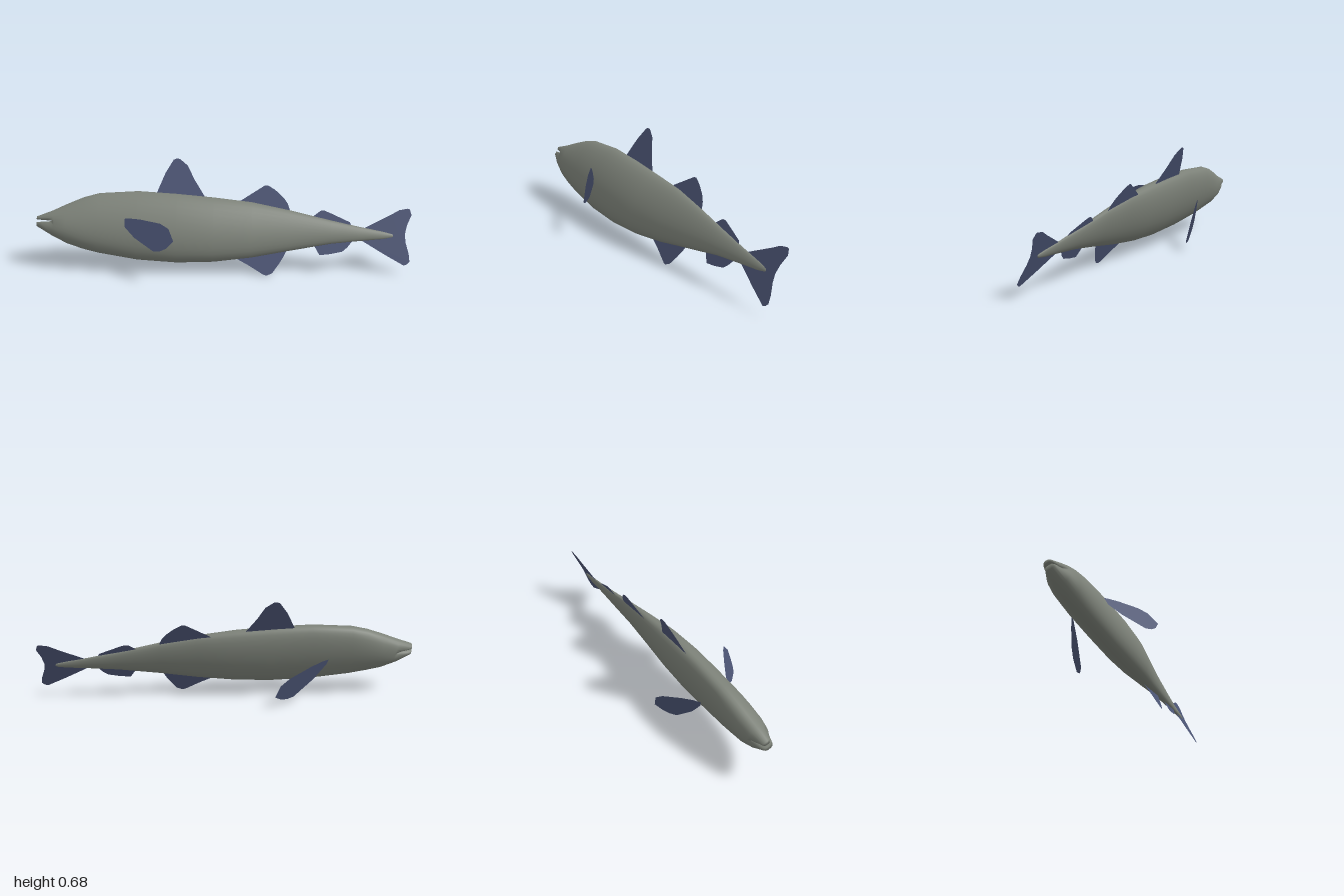
import * as THREE from 'three';

const skin = new THREE.MeshStandardMaterial({ color: 0x7c8178, side: THREE.DoubleSide });
skin.name = 'greySkin';
const finBlue = new THREE.MeshStandardMaterial({ color: 0x4b5474, side: THREE.DoubleSide });
finBlue.name = 'blueFin';

const SIDES = 28;

// Cross-sections from mouth to tail:
// x, centre y, centre z, half height, half width, pull-back of the mouth corners
const sections = [
  [-1.07, 0.035, 0.016, 0.002, 0.050, 0],
  [-1.198, 0.037, 0.014, 0.010, 0.042, 0.115],
  [-1.195, 0.034, 0.014, 0.032, 0.050, 0.105],
  [-1.10, 0.024, 0.016, 0.078, 0.071, 0.025],
  [-1.0, 0.022, 0.018, 0.126, 0.085, 0],
  [-0.9, 0.027, 0.020, 0.163, 0.092, 0],
  [-0.8, 0.029, 0.021, 0.189, 0.097, 0],
  [-0.55, 0.017, 0.025, 0.217, 0.102, 0],
  [-0.3, 0.002, 0.028, 0.217, 0.104, 0],
  [-0.07, -0.004, 0.028, 0.203, 0.095, 0],
  [0.17, -0.002, 0.021, 0.175, 0.070, 0],
  [0.41, -0.003, 0.013, 0.128, 0.047, 0],
  [0.67, -0.009, 0.002, 0.074, 0.030, 0],
  [0.85, -0.018, -0.004, 0.045, 0.018, 0],
  [1.0, -0.025, -0.008, 0.024, 0.012, 0],
  [1.06, -0.026, -0.010, 0.012, 0.007, 0],
  [1.07, -0.026, -0.010, 0.001, 0.001, 0],
];

// Smooth loft through the cross-sections, fuller towards the belly
function bodyGeometry() {
  const pos = [], index = [];
  for (const [x, cy, cz, h, w, notch] of sections) {
    for (let j = 0; j < SIDES; j++) {
      const t = (j / SIDES) * Math.PI * 2, s = Math.sin(t), c = Math.cos(t);
      pos.push(x + notch * c ** 4, cy + h * s, cz + w * c * (1 - 0.12 * s));
    }
  }
  for (let i = 0; i < sections.length - 1; i++) {
    for (let j = 0; j < SIDES; j++) {
      const k = (j + 1) % SIDES;
      const p = i * SIDES + j, r = i * SIDES + k;
      index.push(p, p + SIDES, r, p + SIDES, r + SIDES, r);
    }
  }
  const g = new THREE.BufferGeometry();
  g.setAttribute('position', new THREE.Float32BufferAttribute(pos, 3));
  g.setIndex(index);
  g.computeVertexNormals();
  return g;
}

// Flat fin from an outline in the side plane
function fin(name, points, z = 0.005) {
  const shape = new THREE.Shape(points.map(([x, y]) => new THREE.Vector2(x, y)));
  const mesh = new THREE.Mesh(new THREE.ShapeGeometry(shape), finBlue);
  mesh.name = name;
  mesh.position.z = z;
  return mesh;
}

// Side fin splayed outwards from its root; side is +1 or -1
function pectoralFin(name, side) {
  const mesh = fin(name, [
    [-0.65, 0.05], [-0.635, 0.015], [-0.556, -0.066], [-0.429, -0.149], [-0.385, -0.147],
    [-0.345, -0.13], [-0.302, -0.087], [-0.335, -0.01], [-0.39, 0.022], [-0.52, 0.048], [-0.6, 0.056],
  ], 0.01);
  const p = mesh.geometry.attributes.position;
  for (let i = 0; i < p.count; i++) {
    p.setZ(i, side * (0.111 + 0.52 * (p.getX(i) + 0.63) - 0.05 * p.getY(i)));
  }
  mesh.geometry.computeVertexNormals();
  return mesh;
}

export function createModel() {
  const fish = new THREE.Group();
  fish.name = 'fish';

  const body = new THREE.Mesh(bodyGeometry(), skin);
  body.name = 'body';
  fish.add(body);

  // Three fins along the back
  fish.add(fin('firstDorsalFin', [
    [-0.45, 0.16], [-0.44, 0.21], [-0.38, 0.353], [-0.33, 0.436], [-0.312, 0.445], [-0.29, 0.442],
    [-0.24, 0.40], [-0.195, 0.31], [-0.12, 0.19], [-0.11, 0.15],
  ], 0.02));
  fish.add(fin('secondDorsalFin', [
    [0.08, 0.14], [0.095, 0.18], [0.18, 0.235], [0.25, 0.28], [0.27, 0.282], [0.317, 0.253],
    [0.37, 0.205], [0.398, 0.165], [0.415, 0.115], [0.4, 0.09],
  ]));
  fish.add(fin('thirdDorsalFin', [
    [0.55, 0.06], [0.56, 0.09], [0.605, 0.125], [0.63, 0.126], [0.669, 0.11], [0.79, 0.055],
    [0.805, 0.02], [0.78, 0],
  ], 0));

  // Two fins under the tail
  fish.add(fin('firstAnalFin', [
    [0.05, -0.14], [0.065, -0.18], [0.15, -0.225], [0.25, -0.286], [0.268, -0.29], [0.303, -0.275],
    [0.345, -0.215], [0.37, -0.175], [0.395, -0.125], [0.38, -0.09],
  ]));
  fish.add(fin('secondAnalFin', [
    [0.555, -0.07], [0.568, -0.1], [0.6, -0.156], [0.67, -0.148], [0.743, -0.132], [0.775, -0.105],
    [0.81, -0.06], [0.78, -0.04],
  ], 0));

  // Forked tail
  fish.add(fin('tailFin', [
    [0.86, -0.02], [0.875, 0.015], [1.05, 0.106], [1.1, 0.135], [1.155, 0.146], [1.168, 0.14],
    [1.178, 0.105], [1.15, 0.04], [1.137, -0.018], [1.142, -0.07], [1.162, -0.14], [1.167, -0.19],
    [1.15, -0.207], [1.131, -0.214], [1.007, -0.145], [0.865, -0.06],
  ], -0.005));

  fish.add(pectoralFin('leftPectoralFin', 1), pectoralFin('rightPectoralFin', -1));

  // Swimming pose: turned across the front and rolled to one side
  fish.rotation.set(THREE.MathUtils.degToRad(-24), THREE.MathUtils.degToRad(34.1), 0, 'YXZ');
  fish.position.y = 0.268;

  const model = new THREE.Group();
  model.name = 'model';
  model.add(fish);
  return model;
}
